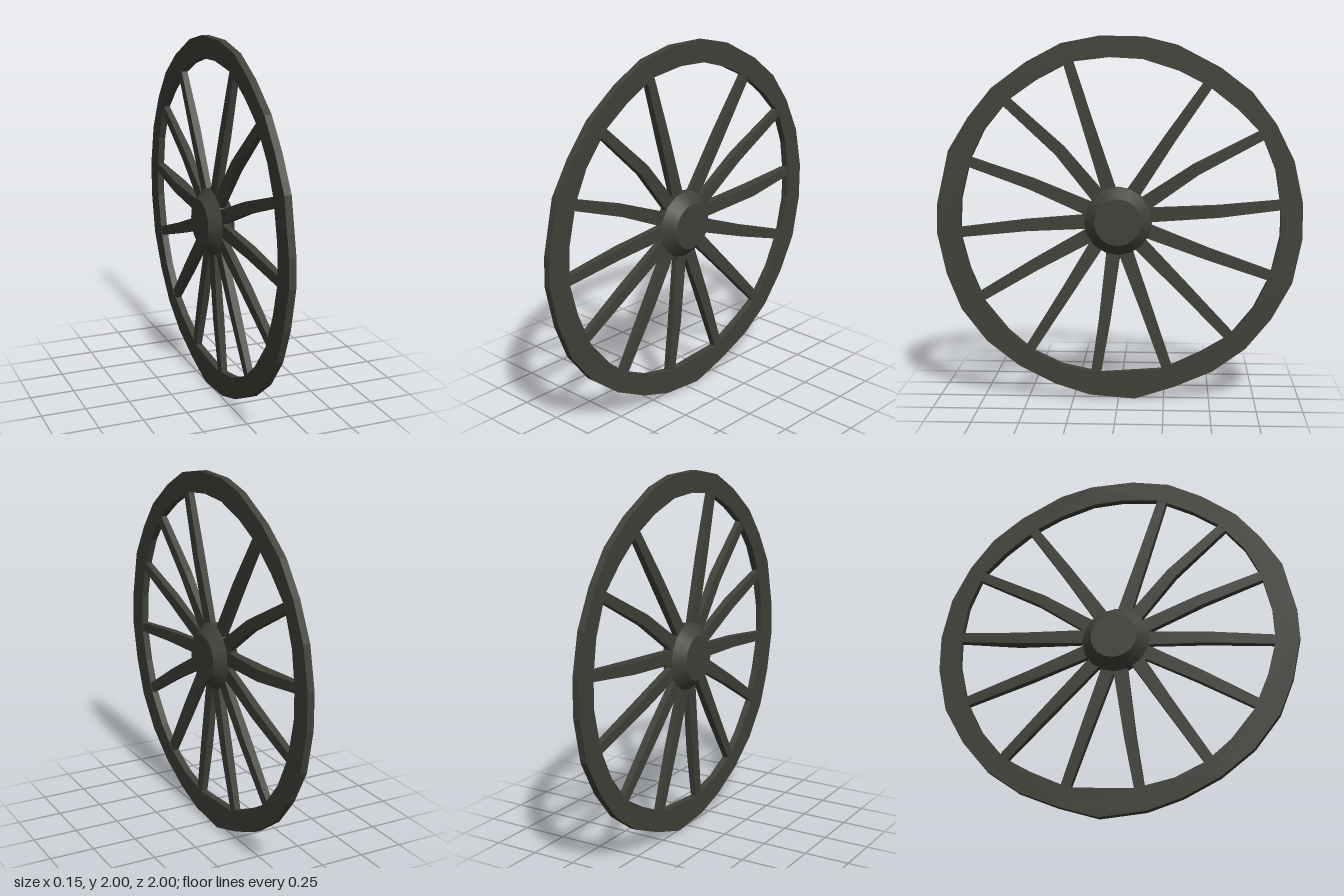
import * as THREE from 'three';
import { toCreasedNormals } from 'three/addons/utils/BufferGeometryUtils.js';

// Hand-hewn outlines in the wheel plane, in hundredths, both clockwise: [across, up]
const OUTER = [
  [-10, 200], [14, 199.5], [32, 195], [55, 183], [72, 170], [85, 153], [95, 133],
  [100, 110], [100, 90], [95, 66], [84, 46], [70, 29], [52, 16], [31, 7],
  [9, 0], [-16, 2], [-35, 8], [-55, 18], [-73, 32], [-87, 50], [-95, 70],
  [-100, 93], [-99.5, 109], [-93, 138], [-82, 156], [-69, 172], [-50, 186], [-31, 196],
];
const INNER = [
  [-5, 188.5], [13, 187.5], [32, 181.5], [48, 173.5], [64, 161], [77, 148], [85, 128],
  [88, 109], [88, 92], [83, 70], [74, 52], [61, 36], [46, 27], [25, 17],
  [-10, 14.5], [-31, 19], [-48, 27], [-61, 38], [-74, 54], [-82, 73], [-87, 92],
  [-86, 112], [-81, 133], [-73, 149.5], [-60, 165.5], [-45, 176], [-26, 186],
];
// Each spoke: base, middle and tip of its centre line
const SPOKES = [
  [[-6, 118.5], [-16.5, 151.5], [-27, 185]],
  [[-13, 115], [-32, 138], [-61, 164.5]],
  [[-18, 107], [-48, 120], [-82, 132]],
  [[-19, 99], [-51, 97], [-87, 93]],
  [[-17, 91], [-46, 75], [-77, 56.5]],
  [[-13, 85], [-28, 61], [-49, 28]],
  [[-3, 81], [-7.8, 43.5], [-12.5, 14.5]],
  [[4, 82], [15.5, 50], [27, 17]],
  [[12, 86.5], [36, 62], [61, 36]],
  [[16, 94], [48, 82], [83, 70]],
  [[18, 103], [54.5, 105.3], [88, 109]],
  [[15, 109.5], [42, 128], [76, 146]],
  [[9, 116.5], [28, 145], [48, 173.5]],
];
const BOWED = 10; // this spoke swells sideways at its middle

const toPoints = (list) => list.map(([u, v]) => new THREE.Vector2(u / 100, v / 100));

// Bend a box along the spoke's centre line, tapering towards the tip
function spokeGeometry(line, bowed) {
  const [base, mid, tip] = toPoints(line);
  const inDir = mid.clone().sub(base).normalize();
  const outDir = tip.clone().sub(mid).normalize();
  const [midBack, midFront] = bowed ? [-0.02, 0.046] : [-0.014, 0.028];
  const sections = [
    { p: base.addScaledVector(inDir, -0.06), d: inDir, width: 0.08, back: -0.018, front: 0.013 },
    { p: mid, d: inDir.clone().add(outDir).normalize(), width: 0.064, back: midBack, front: midFront },
    { p: tip.addScaledVector(outDir, 0.03), d: outDir, width: 0.054, back: -0.004, front: 0.029 },
  ];
  const geometry = new THREE.BoxGeometry(1, 1, 1, 1, 2, 1);
  const pos = geometry.attributes.position;
  for (let i = 0; i < pos.count; i++) {
    const { p, d, width, back, front } = sections[Math.round((pos.getY(i) + 0.5) * 2)];
    const side = pos.getX(i) * width;
    pos.setXYZ(i, p.x + d.y * side, p.y - d.x * side, pos.getZ(i) > 0 ? front : back);
  }
  return toCreasedNormals(geometry, 0.1).rotateY(Math.PI / 2);
}

export function createModel() {
  const wheel = new THREE.Group();
  wheel.name = 'wheel';
  const wood = new THREE.MeshStandardMaterial({ color: 0x41413a });
  wood.name = 'dark weathered wood';

  const add = (name, geometry) => {
    const mesh = new THREE.Mesh(geometry, wood);
    mesh.name = name;
    wheel.add(mesh);
    return mesh;
  };

  // Rim: uneven many-sided ring; the hole runs the other way round so its wall faces the hub
  const ring = new THREE.Shape(toPoints(OUTER));
  ring.holes.push(new THREE.Path(toPoints(INNER).reverse()));
  const rim = new THREE.ExtrudeGeometry(ring, { depth: 0.039, bevelEnabled: false });
  add('rim', rim.translate(0, 0, -0.007).rotateY(Math.PI / 2));

  // Spokes
  SPOKES.forEach((line, i) => add(`spoke${i + 1}`, spokeGeometry(line, i === BOWED)));

  // Hub: a band between two flat-ended cones; [name, start x, end x, start radius, end radius]
  const hubParts = [
    ['hubRightCone', -0.077, -0.019, 0.129, 0.187],
    ['hubBand', -0.019, 0.016, 0.187, 0.187],
    ['hubLeftCone', 0.016, 0.076, 0.187, 0.129],
  ];
  for (const [name, x0, x1, r0, r1] of hubParts) {
    const geometry = new THREE.CylinderGeometry(r1, r0, x1 - x0, 16);
    add(name, geometry.rotateZ(-Math.PI / 2)).position.set((x0 + x1) / 2, 0.995, 0.003);
  }

  return wheel;
}
